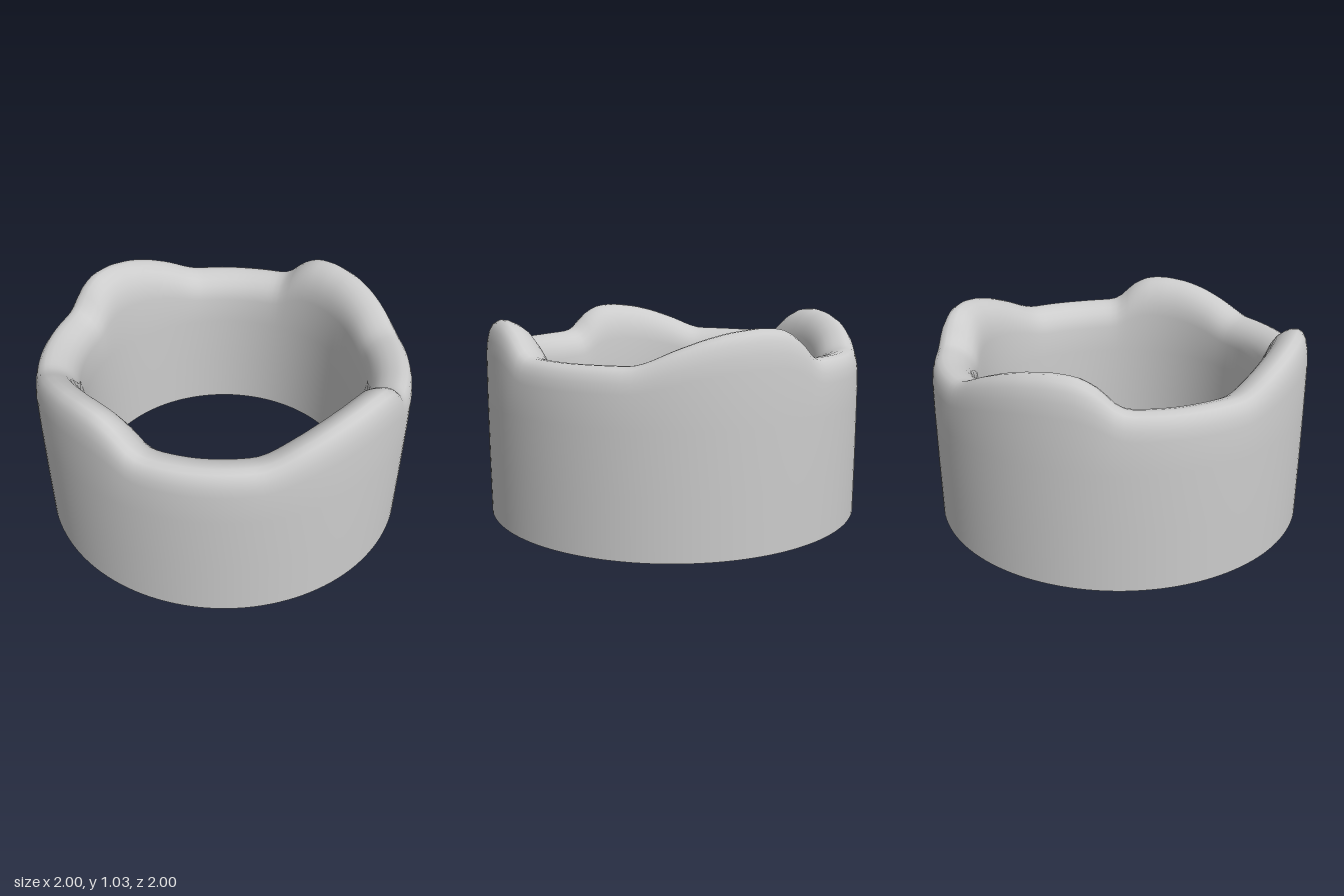
import * as THREE from 'three';
import { toCreasedNormals } from 'three/addons/utils/BufferGeometryUtils.js';

// Rim height by angle in degrees; the wave repeats every quarter turn
const RIM = [[0, 0.945], [3, 0.89], [7, 0.872], [20, 0.868], [40, 0.87], [44, 0.89], [51, 0.94],
  [59, 0.985], [66, 1.013], [75, 1.03], [82, 1.022], [87, 0.985], [90, 0.945]];

function rimAt(deg) {
  const a = ((deg % 90) + 90) % 90;
  const k = RIM.findIndex((p, i) => i > 0 && a <= p[0]);
  const [a0, h0] = RIM[k - 1], [a1, h1] = RIM[k];
  return h0 + (h1 - h0) * (a - a0) / (a1 - a0);
}

// Average neighbouring heights to soften the corners of the wave
function rimHeight(deg) {
  let sum = 0;
  for (let d = -2; d <= 2; d++) sum += rimAt(deg + d * 0.8);
  return sum / 5;
}

// Closed wall section: up the outside, over the rounded lip, down the inside
function section(deg) {
  const h = rimHeight(deg);
  const t = THREE.MathUtils.clamp((h - 0.87) / 0.16, 0, 1);
  const s = 1 + 0.5 * t; // the lip is deeper on the high lobes
  return [
    [1, 0], [1, 0.3], [0.998, 0.6], [0.994, h - 0.115 * s], [0.987, h - 0.07 * s],
    [0.975, h - 0.035 * s], [0.957, h - 0.012 * s], [0.93, h], [0.9, h - 0.002],
    [0.865, h - 0.012 * s], [0.83, h - 0.03 * s], [0.8, h - 0.06 * s],
    [0.78, h - 0.095 * s], [0.768, h - 0.14 * s], [0.762, 0.58], [0.76, 0.3], [0.76, 0],
  ];
}

function ringGeometry(segments) {
  const pos = [], index = [];
  const n = section(0).length;
  for (let i = 0; i < segments; i++) {
    const a = (i / segments) * Math.PI * 2;
    for (const [r, y] of section((i / segments) * 360)) pos.push(Math.sin(a) * r, y, Math.cos(a) * r);
    const next = (i + 1) % segments;
    for (let j = 0; j < n; j++) {
      const k = (j + 1) % n; // the last strip is the flat underside
      const p = i * n + j, q = next * n + j, u = next * n + k, v = i * n + k;
      index.push(p, q, u, p, u, v);
    }
  }
  const geo = new THREE.BufferGeometry();
  geo.setAttribute('position', new THREE.Float32BufferAttribute(pos, 3));
  geo.setIndex(index);
  return toCreasedNormals(geo, 0.8);
}

export function createModel() {
  const group = new THREE.Group();
  group.name = 'wavyRing';
  const ring = new THREE.Mesh(ringGeometry(144), new THREE.MeshStandardMaterial({ color: 0xcccccc }));
  ring.name = 'ringWall';
  group.add(ring);
  return group;
}
